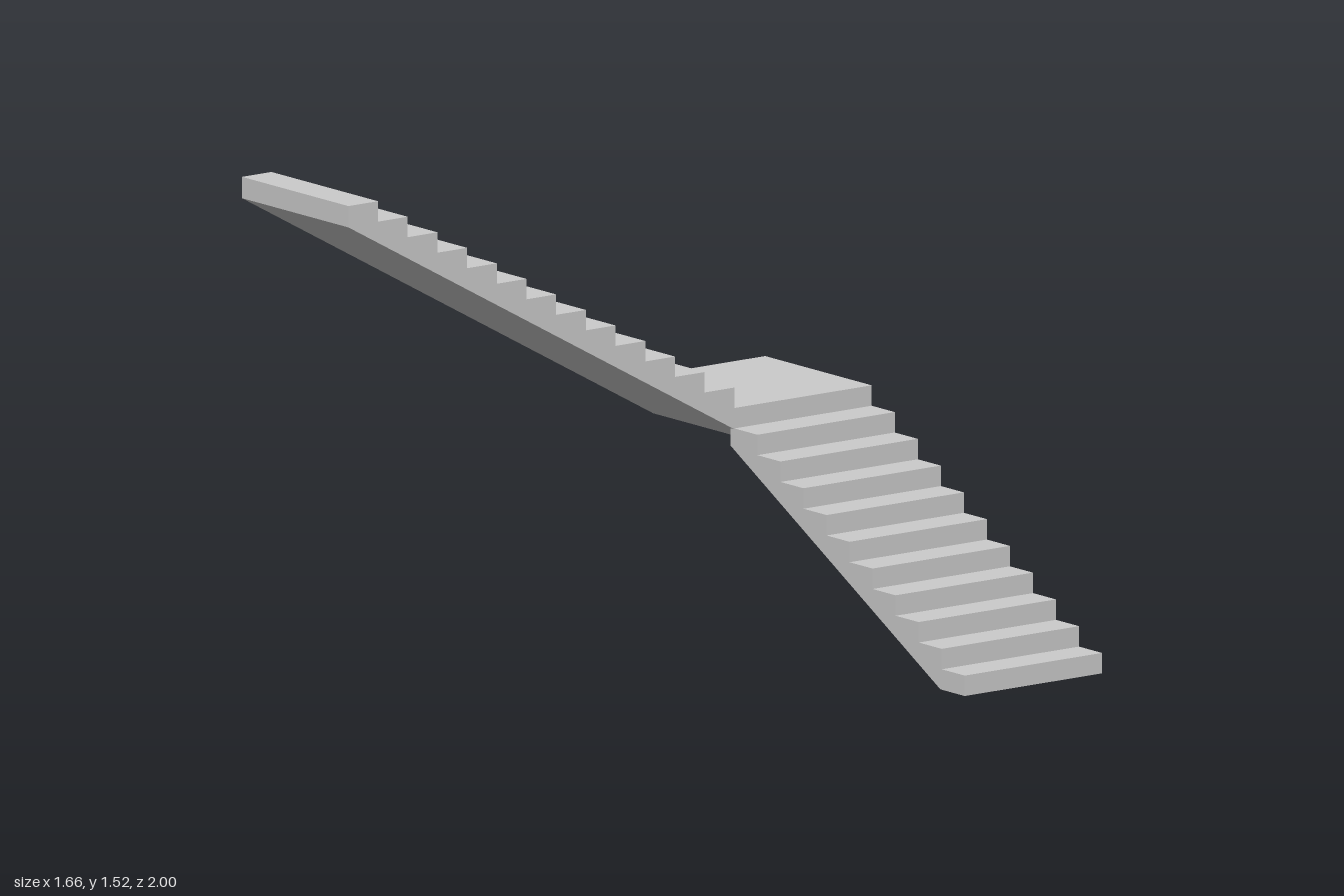
import * as THREE from 'three';

const RISE = 1.516 / 24, TREAD = 0.1135, WIDTH = 0.525;
const material = new THREE.MeshStandardMaterial({ color: 0xcccccc, flatShading: true });

// Sawtooth of treads climbing towards -u, starting at the foot of the first riser
function stepPoints(u, y, count) {
  const points = [];
  for (let i = 0; i < count; i++) {
    points.push([u - i * TREAD, y + i * RISE], [u - i * TREAD, y + (i + 1) * RISE]);
    points.push([u - (i + 1) * TREAD, y + (i + 1) * RISE]);
  }
  // Drop the repeated foot of each following riser
  return points.filter((p, i) => i === 0 || i % 3 !== 0);
}

function extrudeProfile(name, points) {
  const shape = new THREE.Shape(points.map(([u, y]) => new THREE.Vector2(u, y)));
  const geometry = new THREE.ExtrudeGeometry(shape, { depth: WIDTH, bevelEnabled: false });
  const mesh = new THREE.Mesh(geometry, material);
  mesh.name = name;
  return mesh;
}

export function createModel() {
  const group = new THREE.Group();
  group.name = 'staircase';
  const landingTop = 11 * RISE, landingBottom = 0.575;
  const slope = RISE / TREAD;

  // Lower flight: ten steps along x, its end tucked slightly under the landing
  const footX = 0.71;
  const endX = footX - landingBottom / slope;
  const lower = extrudeProfile('lowerFlight', [
    ...stepPoints(0.83, 0, 10),
    [endX, 10 * RISE],
    [endX, landingBottom],
    [footX, 0],
  ]);
  lower.position.z = -1;
  group.add(lower);

  // Landing and upper flight: thirteen steps along z, with one continuous soffit
  const startU = 0.475, topU = -1, soffitTop = 1.45;
  const soffitU = topU + (soffitTop - landingBottom) / slope;
  const steps = stepPoints(startU, landingTop, 13);
  steps[steps.length - 1][0] = topU;
  const upper = extrudeProfile('landingAndUpperFlight', [
    [1, landingBottom],
    [1, landingTop],
    ...steps,
    [topU, soffitTop],
    [soffitU, landingBottom],
  ]);
  upper.rotation.y = Math.PI / 2;
  upper.position.x = -0.83;
  group.add(upper);

  return group;
}
